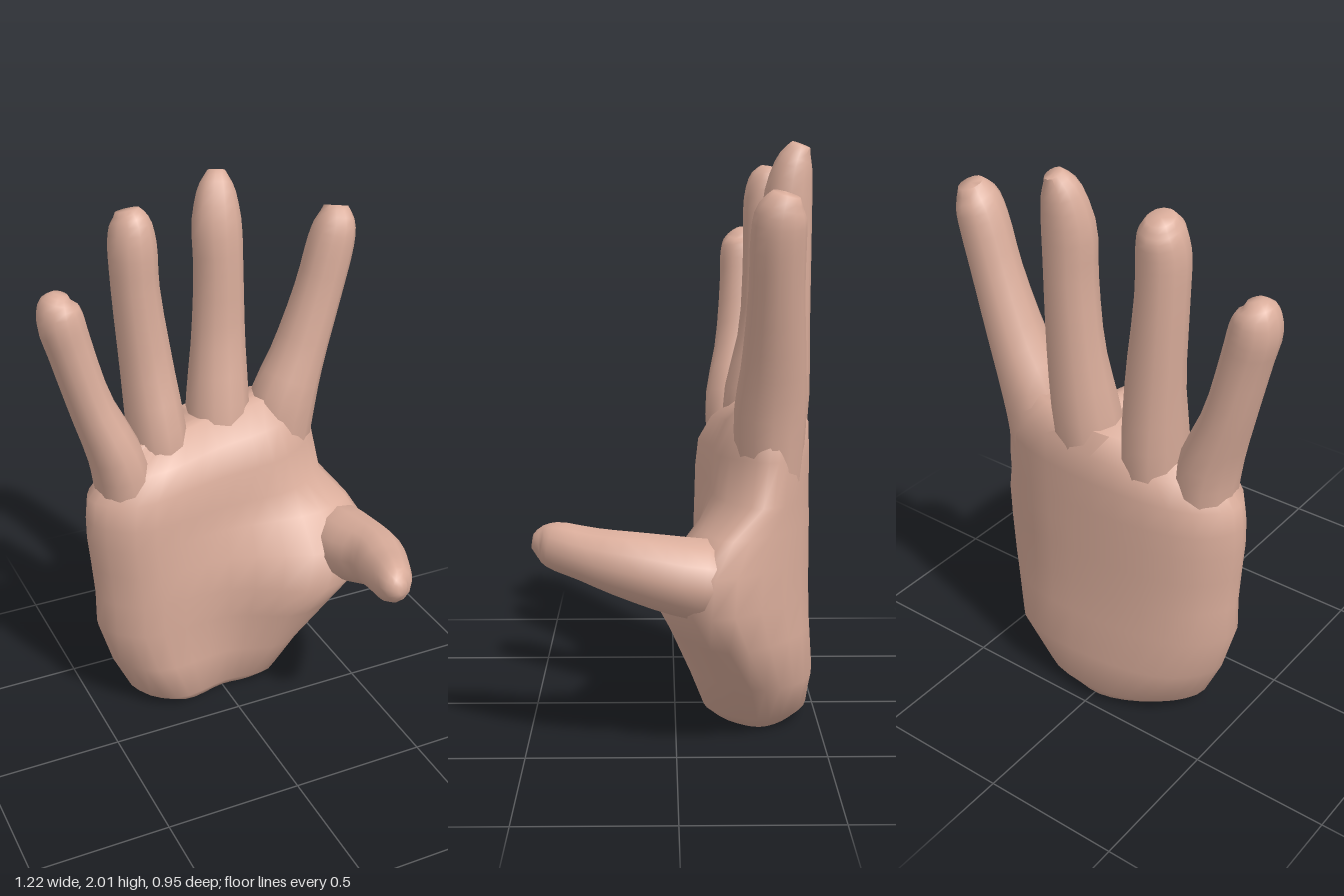
import * as THREE from 'three';
import { toCreasedNormals } from 'three/addons/utils/BufferGeometryUtils.js';

const V = (x, y, z) => new THREE.Vector3(x, y, z);
const skinMaterial = new THREE.MeshStandardMaterial({ color: 0xdaad9b });

// Closed skin over a stack of equal-sized rings, with a fan at each end
function skin(name, rings) {
  const n = rings[0].length, last = rings.length - 1;
  const points = rings.flat(), index = [];
  const centre = (ring) => ring.reduce((s, p) => s.add(p), V(0, 0, 0)).divideScalar(n);
  const start = points.length, end = start + 1;
  points.push(centre(rings[0]), centre(rings[last]));
  for (let j = 0; j < n; j++) {
    const k = (j + 1) % n;
    for (let i = 0; i < last; i++) {
      const a = i * n + j, b = i * n + k;
      index.push(a, a + n, b, b, a + n, b + n);
    }
    index.push(start, j, k, end, last * n + k, last * n + j);
  }
  const geometry = new THREE.BufferGeometry().setFromPoints(points);
  geometry.setIndex(index);
  const mesh = new THREE.Mesh(toCreasedNormals(geometry, 1.1), skinMaterial);
  mesh.name = name;
  return mesh;
}

// Digit: stations [x, y, z, half width, half depth] joined by smooth curves
function digit(name, stations, hint, steps = 16, sides = 12) {
  const path = new THREE.CatmullRomCurve3(stations.map((s) => V(s[0], s[1], s[2])));
  const size = new THREE.CatmullRomCurve3(stations.map((s, i) => V(s[3], s[4], i * 0.1)));
  const rings = [];
  for (let i = 0; i <= steps; i++) {
    const t = i / steps, c = path.getPoint(t), r = size.getPoint(t);
    const dir = path.getTangent(t);
    const u = dir.clone().cross(hint).normalize(), v = u.clone().cross(dir);
    rings.push(Array.from({ length: sides }, (_, j) => {
      const a = (j / sides) * Math.PI * 2;
      return c.clone().addScaledVector(u, Math.cos(a) * r.x).addScaledVector(v, Math.sin(a) * r.y);
    }));
  }
  return skin(name, rings);
}

export function createModel() {
  const hand = new THREE.Group();
  hand.name = 'hand';

  // Palm levels: y, left x, right x, right z, thumb mound x, mound z, front z, back z
  const levels = [
    [0.00, -0.30, 0.24, -0.29, 0.14, -0.16, -0.13, -0.44],
    [0.05, -0.35, 0.30, -0.28, 0.18, -0.11, -0.09, -0.47],
    [0.20, -0.42, 0.42, -0.25, 0.22, -0.05, -0.09, -0.475],
    [0.37, -0.47, 0.54, -0.17, 0.27, 0.02, -0.09, -0.465],
    [0.50, -0.47, 0.60, -0.11, 0.33, 0.08, -0.09, -0.46],
    [0.63, -0.48, 0.60, -0.12, 0.38, 0.04, -0.09, -0.46],
    [0.74, -0.49, 0.54, -0.18, 0.38, -0.08, -0.09, -0.46],
    [0.83, -0.49, 0.47, -0.28, 0.30, -0.14, -0.09, -0.46],
    [0.95, -0.48, 0.445, -0.30, 0.27, -0.15, -0.10, -0.46],
    [1.05, -0.41, 0.42, -0.31, 0.25, -0.19, -0.14, -0.455],
    [1.13, -0.30, 0.35, -0.32, 0.22, -0.26, -0.23, -0.42],
  ];
  hand.add(skin('palm', levels.map(([y, xl, xr, zr, xm, zm, zf, zb]) => {
    const outline = new THREE.CatmullRomCurve3([
      V(xr, y, zr), V(xm, y, zm), V(0, y, zf * 0.75 + zm * 0.25 - 0.02), V(xl + 0.13, y, zf),
      V(xl, y, -0.24), V(xl + 0.1, y, zb + 0.08), V(-0.02, y, zb),
      V(Math.min(xr - 0.09, 0.33), y, zb + 0.04),
    ], true);
    // The knuckle line slopes down towards the little finger
    const slope = 0.13 * THREE.MathUtils.smoothstep(y, 0.8, 1.1);
    return outline.getPoints(32).slice(0, 32).map((p) => p.setY(y + slope * p.x));
  })));

  // Fingers, from inside the palm to the rounded tips
  const fingers = {
    littleFinger: [
      [-0.33, 0.86, -0.25, 0.11, 0.12], [-0.365, 1.06, -0.25, 0.10, 0.13],
      [-0.445, 1.28, -0.265, 0.08, 0.105], [-0.505, 1.50, -0.27, 0.08, 0.092],
      [-0.53, 1.60, -0.27, 0.082, 0.09], [-0.535, 1.665, -0.27, 0.065, 0.075],
      [-0.525, 1.70, -0.27, 0.025, 0.03]],
    ringFinger: [
      [-0.17, 0.90, -0.30, 0.11, 0.12], [-0.185, 1.10, -0.31, 0.107, 0.13],
      [-0.205, 1.35, -0.335, 0.097, 0.10], [-0.235, 1.65, -0.34, 0.085, 0.09],
      [-0.24, 1.80, -0.34, 0.085, 0.09], [-0.24, 1.88, -0.35, 0.07, 0.08],
      [-0.245, 1.92, -0.36, 0.042, 0.05]],
    middleFinger: [
      [0.06, 0.90, -0.32, 0.12, 0.12], [0.073, 1.13, -0.345, 0.118, 0.12],
      [0.09, 1.40, -0.37, 0.10, 0.092], [0.095, 1.65, -0.375, 0.09, 0.087],
      [0.092, 1.82, -0.38, 0.09, 0.083], [0.10, 1.94, -0.40, 0.066, 0.062],
      [0.11, 1.995, -0.42, 0.03, 0.033]],
    indexFinger: [
      [0.29, 0.90, -0.31, 0.13, 0.11], [0.325, 1.12, -0.31, 0.125, 0.12],
      [0.39, 1.30, -0.315, 0.10, 0.105], [0.465, 1.53, -0.315, 0.088, 0.09],
      [0.51, 1.70, -0.315, 0.085, 0.088], [0.53, 1.78, -0.32, 0.072, 0.08],
      [0.54, 1.835, -0.335, 0.043, 0.045]],
  };
  for (const [name, stations] of Object.entries(fingers)) {
    hand.add(digit(name, stations, V(0, 0, 1)));
  }

  // Thumb reaching forward from the mound
  hand.add(digit('thumb', [
    [0.38, 0.56, -0.26, 0.06, 0.08], [0.455, 0.59, -0.12, 0.14, 0.135],
    [0.47, 0.62, 0.03, 0.138, 0.128], [0.475, 0.655, 0.17, 0.108, 0.11],
    [0.445, 0.68, 0.29, 0.094, 0.09], [0.415, 0.70, 0.39, 0.073, 0.082],
    [0.405, 0.71, 0.44, 0.053, 0.06], [0.41, 0.715, 0.47, 0.02, 0.025],
  ], V(0, 1, 0)));

  return hand;
}
